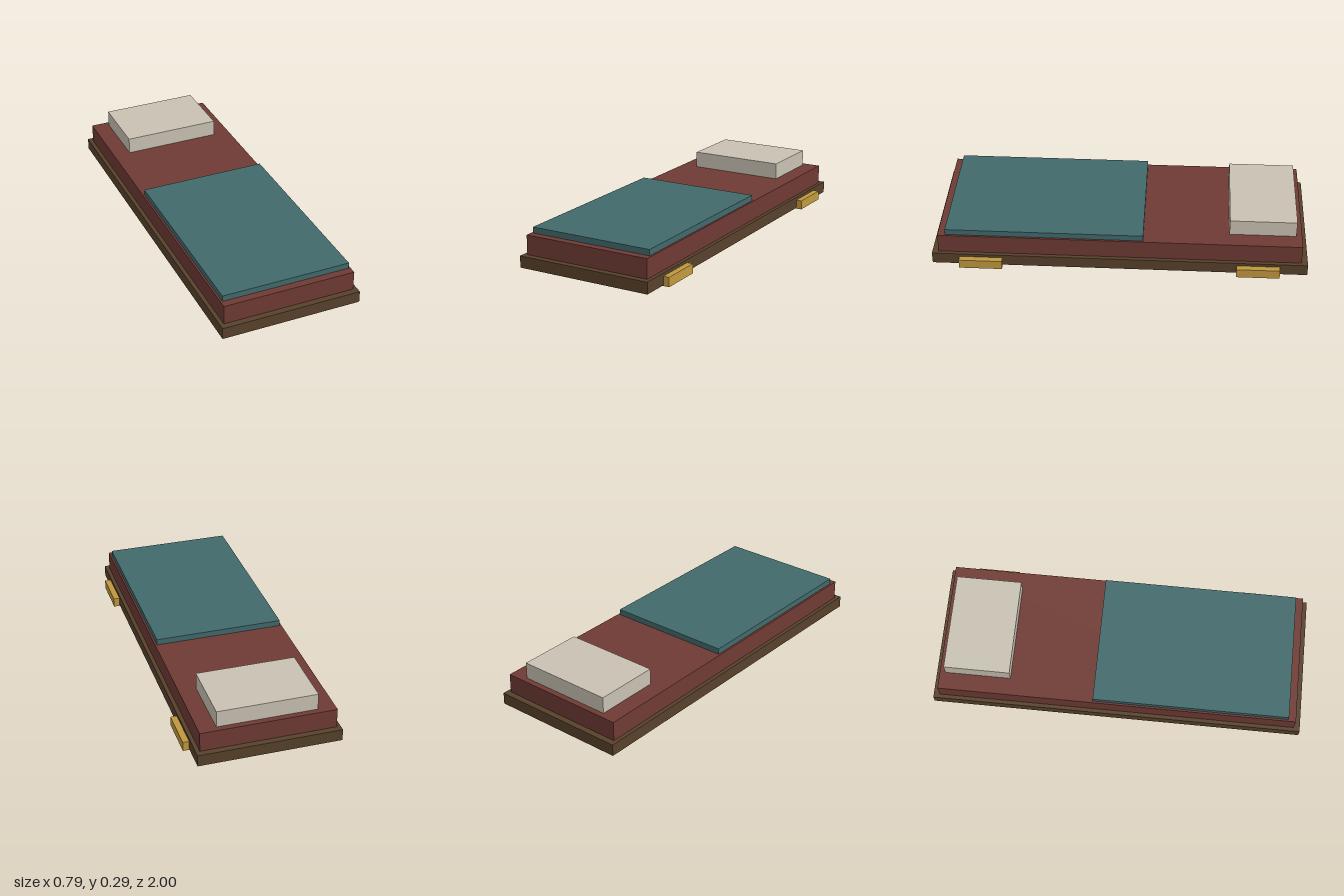
import * as THREE from 'three';

const material = (name, color) => {
  const m = new THREE.MeshStandardMaterial({ color });
  m.name = name;
  return m;
};

export function createModel() {
  const wood = material('dark wood', 0x57412b);
  const red = material('red cloth', 0x6f3a34);
  const teal = material('teal cloth', 0x41696b);
  const linen = material('linen', 0xc9c2b3);
  const brass = material('brass', 0xc0983f);

  const bed = new THREE.Group();
  bed.name = 'foldingBunk';

  // Box given by its extents on each axis
  const box = (name, mat, [x0, x1], [y0, y1], [z0, z1]) => {
    const mesh = new THREE.Mesh(new THREE.BoxGeometry(x1 - x0, y1 - y0, z1 - z0), mat);
    mesh.position.set((x0 + x1) / 2, (y0 + y1) / 2, (z0 + z1) / 2);
    mesh.name = name;
    bed.add(mesh);
  };

  // Board and bedding
  box('baseBoard', wood, [-0.394, 0.361], [0.033, 0.096], [-1, 1]);
  box('mattress', red, [-0.373, 0.34], [0.096, 0.201], [-0.967, 0.967]);
  box('blanket', teal, [-0.363, 0.33], [0.201, 0.233], [-0.126, 0.926]);
  box('pillow', linen, [-0.28, 0.247], [0.201, 0.29], [-0.936, -0.582]);

  // Cross battens underneath and hinges along the left edge, at both ends
  for (const [end, s] of [['front', 1], ['back', -1]]) {
    const span = (a, b) => (s > 0 ? [a, b] : [-b, -a]);
    box(end + 'Batten', wood, [-0.259, 0.268], [0, 0.033], span(0.812, 0.876));
    box(end + 'Hinge', brass, [0.352, 0.394], [0.029, 0.08], span(0.623, 0.853));
  }
  return bed;
}
